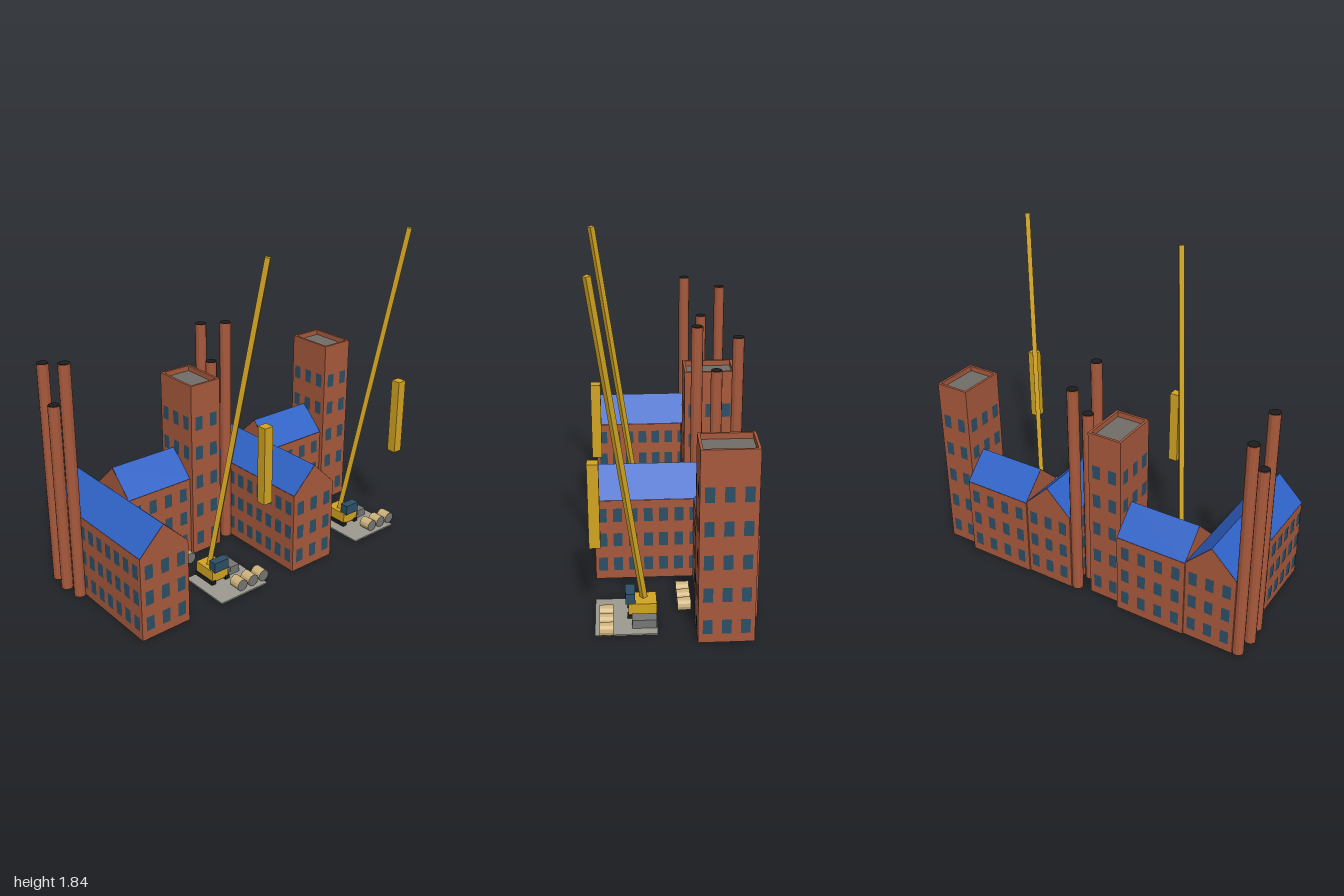
import * as THREE from 'three';

const mat = (name, color, double) => {
  const m = new THREE.MeshStandardMaterial({ color });
  m.name = name;
  if (double) m.side = THREE.DoubleSide;
  return m;
};
const brick = mat('brick red', 0xa8593c, true);
const roofBlue = mat('roof blue', 0x2f62c6, true);
const glass = mat('window slate blue', 0x2c4f66);
const gold = mat('crane yellow', 0xd2a422);
const concrete = mat('pad grey', 0x9c9a90);
const roofGrey = mat('flat roof grey', 0x716d68);
const black = mat('soot black', 0x1d1d1f);
const tan = mat('drum tan', 0xcdb27c);
const steel = mat('steel grey', 0x767674);

function add(parent, name, geo, material, x = 0, y = 0, z = 0) {
  const m = new THREE.Mesh(geo, material);
  m.name = name;
  m.position.set(x, y, z);
  parent.add(m);
  return m;
}

// box given by its minimum and maximum on each axis
function box(parent, name, material, x0, x1, y0, y1, z0, z1) {
  return add(parent, name, new THREE.BoxGeometry(x1 - x0, y1 - y0, z1 - z0), material,
    (x0 + x1) / 2, (y0 + y1) / 2, (z0 + z1) / 2);
}

// grid of window panes on a wall of given width, facing along angle
function windows(parent, name, x, z, angle, width, cols, rows, pitch) {
  const g = new THREE.Group();
  g.name = name;
  g.position.set(x, 0, z);
  g.rotation.y = angle;
  const pane = new THREE.PlaneGeometry(0.048, 0.08);
  for (let r = 0; r < rows; r++)
    for (let c = 0; c < cols; c++)
      add(g, 'windowPane', pane, glass, ((c + 0.5) / cols - 0.5) * width, 0.092 + r * pitch, 0.003);
  parent.add(g);
}

// windows on all four sides of a rectangular footprint
function windowRing(parent, x0, x1, z0, z1, colsX, colsZ, rows, pitch) {
  const cx = (x0 + x1) / 2, cz = (z0 + z1) / 2, w = x1 - x0, d = z1 - z0;
  windows(parent, 'frontWindows', cx, z1, 0, w, colsX, rows, pitch);
  windows(parent, 'backWindows', cx, z0, Math.PI, w, colsX, rows, pitch);
  windows(parent, 'leftWindows', x1, cz, Math.PI / 2, d, colsZ, rows, pitch);
  windows(parent, 'rightWindows', x0, cz, -Math.PI / 2, d, colsZ, rows, pitch);
}

// gabled hall, open underneath, ridge along its local z
function hall(name, width, length, eave, ridge) {
  const g = new THREE.Group();
  g.name = name;
  const h = width / 2, l = length / 2;
  const gable = new THREE.ShapeGeometry(new THREE.Shape(
    [[-h, 0], [h, 0], [h, eave], [0, ridge], [-h, eave]].map(p => new THREE.Vector2(...p))));
  const slope = Math.hypot(h, ridge - eave);
  for (const s of [1, -1]) {
    add(g, 'gableWall', gable, brick, 0, 0, s * l).rotation.y = s > 0 ? 0 : Math.PI;
    add(g, 'sideWall', new THREE.PlaneGeometry(length, eave), brick, s * h, eave / 2, 0)
      .rotation.y = s * Math.PI / 2;
    const roof = new THREE.PlaneGeometry(slope, length);
    roof.rotateX(-Math.PI / 2);
    add(g, 'roofSlope', roof, roofBlue, s * h / 2, (eave + ridge) / 2 + 0.001, 0)
      .rotation.z = -s * Math.atan2(ridge - eave, h);
  }
  return g;
}

function factory() {
  const g = new THREE.Group();
  g.name = 'factory';

  // main hall across the front
  const main = hall('mainHall', 0.295, 0.82, 0.477, 0.622);
  main.rotation.y = Math.PI / 2;
  main.position.set(-0.005, 0, -0.238);
  g.add(main);
  windowRing(g, -0.415, 0.405, -0.3855, -0.0905, 10, 3, 3, 0.149);

  // rear wing
  const wing = hall('rearWing', 0.3, 0.415, 0.477, 0.622);
  wing.position.set(-0.274, 0, -0.589);
  g.add(wing);
  for (const s of [1, -1])
    windows(g, 'wingWindows', -0.274 + s * 0.15, -0.589, s * Math.PI / 2, 0.415, 4, 3, 0.149);

  // tower: hollow shaft with a sunken flat roof
  const rect = (w, d, C) => new C([[-w, -d], [w, -d], [w, d], [-w, d]].map(p => new THREE.Vector2(...p)));
  const ring = rect(0.141, 0.1, THREE.Shape);
  ring.holes.push(rect(0.127, 0.086, THREE.Path));
  const shaft = new THREE.ExtrudeGeometry(ring, { depth: 1.045, bevelEnabled: false });
  shaft.rotateX(-Math.PI / 2);
  add(g, 'towerWalls', shaft, brick, -0.243, 0, -0.897);
  box(g, 'towerRoof', roofGrey, -0.371, -0.115, 1.005, 1.015, -0.984, -0.81);
  windowRing(g, -0.384, -0.102, -0.997, -0.797, 3, 2, 5, 0.181);

  // chimneys with dark mouths
  for (const [x, z, h] of [[-0.384, -0.068, 1.273], [-0.271, -0.053, 1.08], [-0.161, -0.068, 1.336]]) {
    add(g, 'chimney', new THREE.CylinderGeometry(0.032, 0.032, h, 12).toNonIndexed(), brick, x, h / 2, z)
      .geometry.computeVertexNormals();
    add(g, 'chimneyMouth', new THREE.CylinderGeometry(0.03, 0.03, 0.004, 12), black, x, h + 0.001, z);
  }
  return g;
}

function craneYard() {
  const g = new THREE.Group();
  g.name = 'craneYard';
  box(g, 'pad', concrete, 0.09, 0.405, 0, 0.008, -0.92, -0.6);

  // crane base, body and cab
  for (const z of [-0.785, -0.69])
    box(g, 'track', black, 0.092, 0.24, 0.008, 0.03, z, z + 0.027);
  box(g, 'craneBody', gold, 0.09, 0.235, 0.022, 0.09, -0.78, -0.67);
  box(g, 'craneCab', glass, 0.2, 0.25, 0.085, 0.145, -0.773, -0.677);

  // slanted boom
  const foot = new THREE.Vector3(0.155, 0.085, -0.712), tip = new THREE.Vector3(0.393, 1.84, -0.905);
  const boom = add(g, 'boom', new THREE.BoxGeometry(0.028, 0.028, foot.distanceTo(tip)), gold);
  boom.position.copy(foot).lerp(tip, 0.5);
  boom.lookAt(tip);

  // hanging load
  box(g, 'hangingLoad', gold, 0.365, 0.42, 0.51, 0.952, -0.932, -0.877);

  // stacked beams
  box(g, 'beamStack', steel, 0.093, 0.218, 0.008, 0.055, -0.872, -0.812);
  for (const z of [-0.812, -0.797])
    box(g, 'looseBeam', steel, 0.093, 0.218, 0.008, 0.03, z + 0.002, z + 0.013);

  // two rows of drums lying on their sides
  const drum = new THREE.CylinderGeometry(0.034, 0.034, 0.07, 12).toNonIndexed();
  drum.computeVertexNormals();
  drum.rotateZ(Math.PI / 2);
  for (const [x, z0] of [[0.347, -0.915], [-0.052, -0.713]])
    for (let i = 0; i < 3; i++)
      add(g, 'drum', drum, [tan, steel, steel], x, 0.041, z0 + i * 0.0755);
  return g;
}

export function createModel() {
  const model = new THREE.Group();
  model.name = 'factorySites';
  // two identical sites, one behind the other
  for (const z of [0, 1.018]) {
    const site = new THREE.Group();
    site.name = z ? 'frontSite' : 'backSite';
    site.add(factory(), craneYard());
    site.position.z = z;
    model.add(site);
  }
  return model;
}
